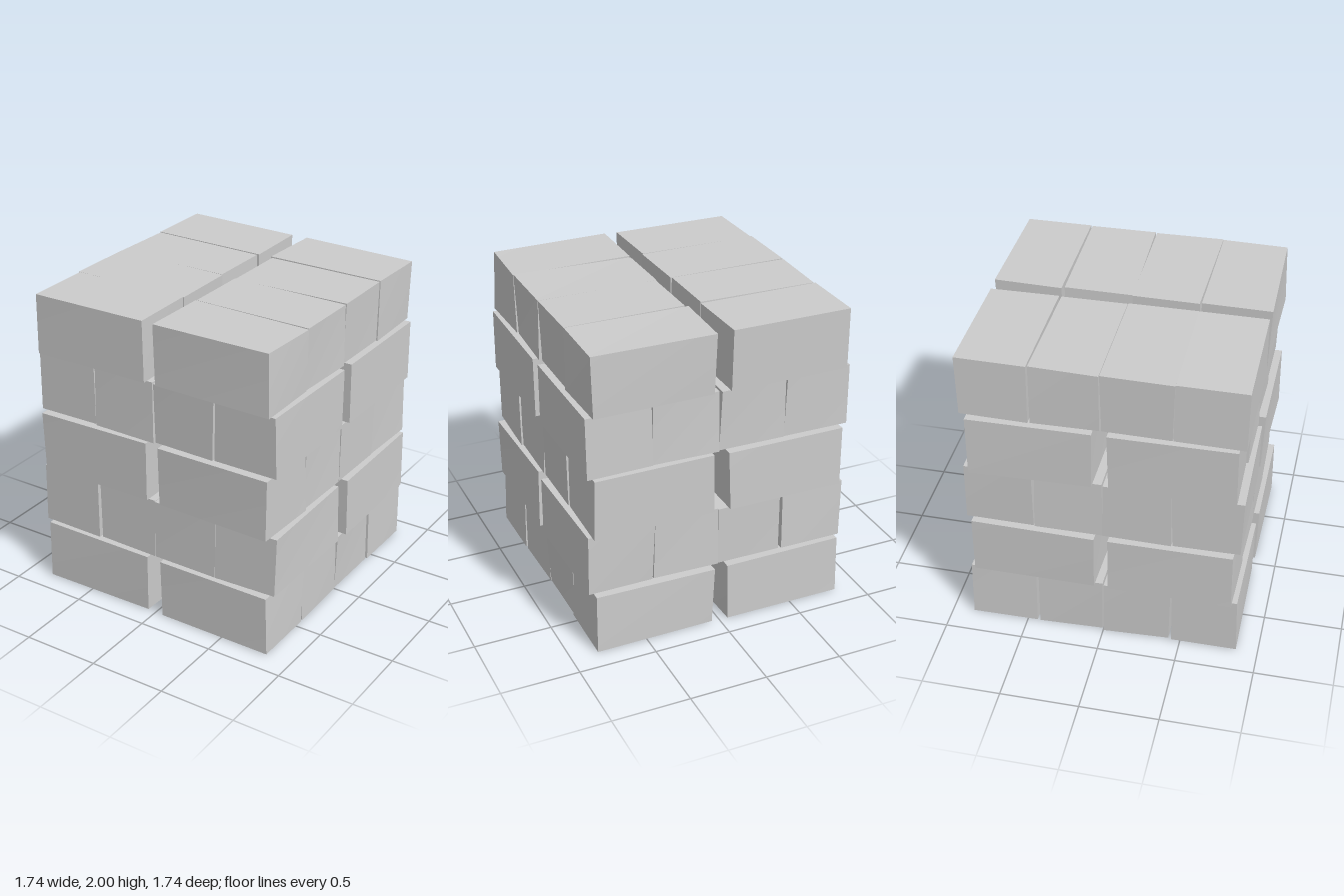
import * as THREE from 'three';

const LAYERS = 5, LAYER_HEIGHT = 0.4;
const LONG = 0.776, SHORT = 0.424, HEIGHT = 0.394;
const LONG_CENTRES = [-0.435, 0.435];
const SHORT_CENTRES = [-0.647, -0.213, 0.217, 0.647];

// Small seeded generator, returns -1..1
function makeNoise(seed) {
  return () => {
    seed = (seed * 16807) % 2147483647;
    return (seed / 2147483647) * 2 - 1;
  };
}

// Box whose eight corners are nudged slightly, for a hand-cut block
function roughBlock(w, h, d, noise) {
  const geometry = new THREE.BoxGeometry(w, h, d);
  const nudges = Array.from({ length: 8 }, () => [noise() * 0.01, noise() * 0.003, noise() * 0.01]);
  const p = geometry.attributes.position;
  for (let i = 0; i < p.count; i++) {
    const x = p.getX(i), y = p.getY(i), z = p.getZ(i);
    const n = nudges[(x > 0 ? 1 : 0) + (y > 0 ? 2 : 0) + (z > 0 ? 4 : 0)];
    p.setXYZ(i, x + n[0], y + n[1], z + n[2]);
  }
  geometry.computeVertexNormals();
  return geometry;
}

export function createModel() {
  const model = new THREE.Group();
  model.name = 'brickStack';
  const material = new THREE.MeshStandardMaterial({ color: 0xcccccc });
  material.name = 'pale grey';
  const noise = makeNoise(4217);

  // Layers of two by four bricks, turned a quarter turn on every other layer
  for (let layer = 0; layer < LAYERS; layer++) {
    const group = new THREE.Group();
    group.name = `brickLayer${layer + 1}`;
    group.position.y = (layer + 0.5) * LAYER_HEIGHT + 0.003;
    const alongX = layer % 2 === 0;
    for (const long of LONG_CENTRES) {
      for (const short of SHORT_CENTRES) {
        const geometry = alongX
          ? roughBlock(LONG, HEIGHT, SHORT, noise)
          : roughBlock(SHORT, HEIGHT, LONG, noise);
        const brick = new THREE.Mesh(geometry, material);
        brick.name = 'brick';
        brick.position.set(alongX ? long : short, 0, alongX ? short : long);
        group.add(brick);
      }
    }
    model.add(group);
  }
  return model;
}
